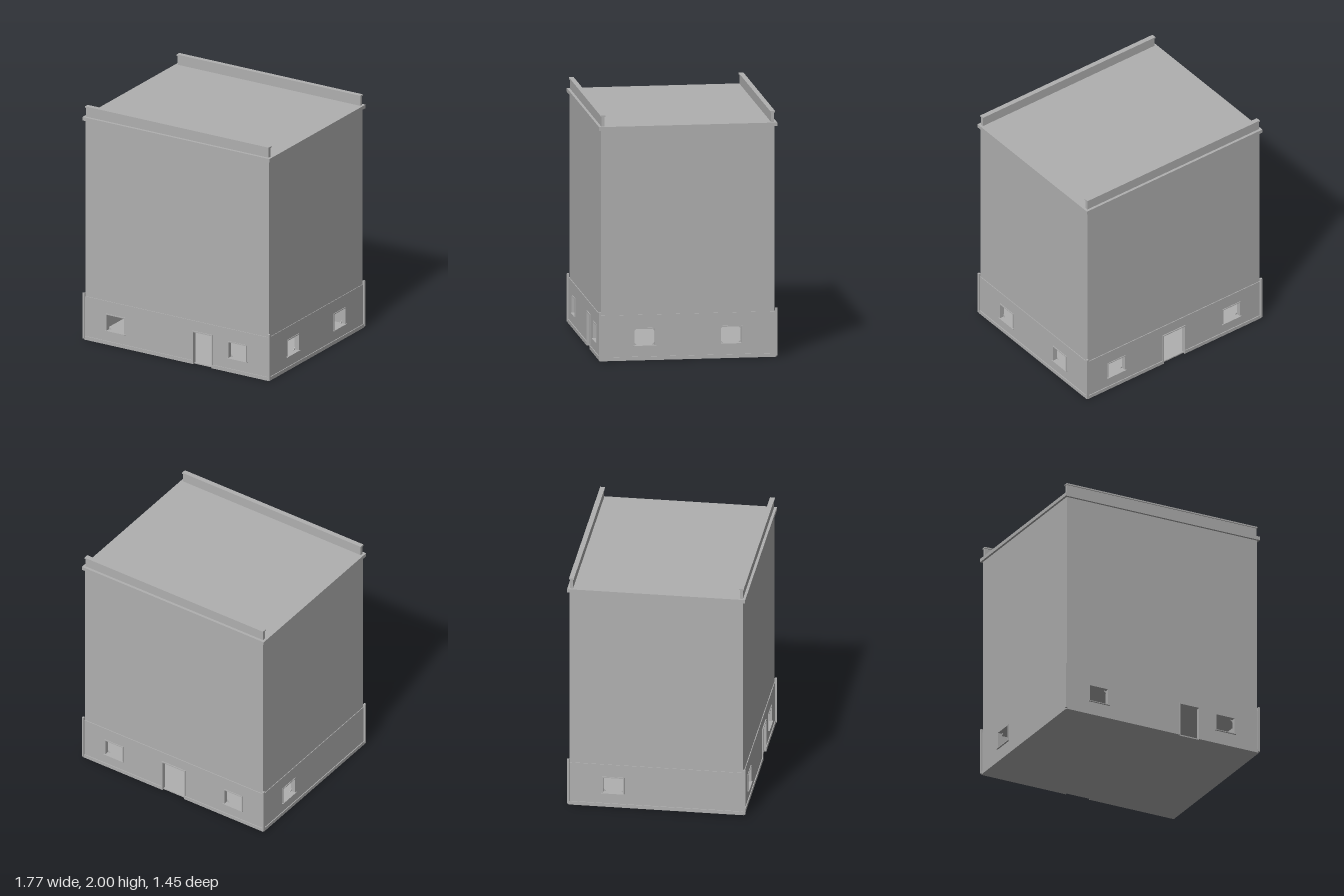
import * as THREE from 'three';

const WALL_H = 0.37, WALL_T = 0.03;
const WIN_W = 0.165, WIN_Y0 = 0.12, WIN_Y1 = 0.255;

export function createModel() {
  const root = new THREE.Group();
  root.name = 'building';
  const stone = new THREE.MeshStandardMaterial({ color: 0xb0b0b0 });
  stone.name = 'grey stone';

  const add = (parent, name, geo) => {
    const mesh = new THREE.Mesh(geo, stone);
    mesh.name = name;
    parent.add(mesh);
    return mesh;
  };
  // Box given by its limits on each axis
  const box = (parent, name, x0, x1, y0, y1, z0, z1) => {
    const mesh = add(parent, name, new THREE.BoxGeometry(x1 - x0, y1 - y0, z1 - z0));
    mesh.position.set((x0 + x1) / 2, (y0 + y1) / 2, (z0 + z1) / 2);
    return mesh;
  };
  const poly = (C, pts) => new C(pts.map(([x, y]) => new THREE.Vector2(x, y)));
  const rect = (C, x0, x1, y0, y1) => poly(C, [[x0, y0], [x1, y0], [x1, y1], [x0, y1]]);

  // Ground floor wall facing local +z, with its openings and trim
  function wall(name, half, dist, angle, windows, door) {
    const side = new THREE.Group();
    side.name = name;
    side.rotation.y = angle;
    root.add(side);

    const outline = [[-half, 0]];
    if (door) outline.push([door.x0, 0], [door.x0, door.h], [door.x1, door.h], [door.x1, 0]);
    outline.push([half, 0], [half, WALL_H], [-half, WALL_H]);
    const shape = poly(THREE.Shape, outline);
    for (const x of windows)
      shape.holes.push(rect(THREE.Path, x - WIN_W / 2, x + WIN_W / 2, WIN_Y0, WIN_Y1));
    const panel = add(side, 'wall', new THREE.ExtrudeGeometry(shape, { depth: WALL_T, bevelEnabled: false }));
    panel.position.z = dist - WALL_T;

    // Window frames, sills and clipped inner surrounds
    for (const x of windows) {
      const a = x - WIN_W / 2, b = x + WIN_W / 2, c = 0.022;
      const frame = rect(THREE.Shape, a - 0.008, b + 0.008, WIN_Y0 - 0.004, WIN_Y1 + 0.008);
      frame.holes.push(rect(THREE.Path, a, b, WIN_Y0, WIN_Y1));
      add(side, 'windowFrame', new THREE.ExtrudeGeometry(frame, { depth: 0.006, bevelEnabled: false })).position.z = dist;
      box(side, 'windowSill', x - 0.095, x + 0.095, WIN_Y0 - 0.006, WIN_Y0, dist - 0.01, dist + 0.014);

      const inner = rect(THREE.Shape, a - 0.01, b + 0.01, WIN_Y0 - 0.01, WIN_Y1 + 0.01);
      inner.holes.push(poly(THREE.Path, [
        [a + c, WIN_Y0], [b - c, WIN_Y0], [b, WIN_Y0 + c], [b, WIN_Y1 - c],
        [b - c, WIN_Y1], [a + c, WIN_Y1], [a, WIN_Y1 - c], [a, WIN_Y0 + c],
      ]));
      add(side, 'windowSurround', new THREE.ExtrudeGeometry(inner, { depth: 0.004, bevelEnabled: false }))
        .position.z = dist - WALL_T - 0.004;
    }

    // Plinth strip, broken at the doorway
    const spans = door ? [[-half, door.x0], [door.x1, half]] : [[-half, half]];
    for (const [a, b] of spans) box(side, 'plinth', a, b, 0, 0.03, dist, dist + 0.007);

    if (door) {
      const w = 0.009;
      box(side, 'doorJamb', door.x0 - w, door.x0, 0, door.h, dist, dist + 0.008);
      box(side, 'doorJamb', door.x1, door.x1 + w, 0, door.h, dist, dist + 0.008);
      box(side, 'doorHead', door.x0 - w, door.x1 + w, door.h, door.h + w, dist, dist + 0.008);
    }
  }
  wall('frontWall', 0.873, 0.709, 0, [-0.58, 0.575], { x0: 0.16, x1: 0.333, h: 0.275 });
  wall('backWall', 0.873, 0.709, Math.PI, [-0.58, 0.58], { x0: -0.105, x1: 0.105, h: 0.275 });
  wall('rightSideWall', 0.709, 0.873, Math.PI / 2, [-0.35, 0.35]);
  wall('leftSideWall', 0.709, 0.873, -Math.PI / 2, [-0.35]);

  // Floor, corner posts, upper block and roof slab
  box(root, 'floor', -0.865, 0.865, 0, 0.01, -0.7, 0.7);
  for (const sx of [-1, 1]) for (const sz of [-1, 1]) {
    const post = box(root, 'cornerPost', -0.009, 0.009, 0.01, 0.4, -0.009, 0.009);
    post.position.x = sx * 0.877;
    post.position.z = sz * 0.714;
  }
  box(root, 'upperBlock', -0.868, 0.868, WALL_H - 0.004, 1.88, -0.703, 0.703);
  box(root, 'roofSlab', -0.886, 0.886, 1.88, 1.91, -0.722, 0.722);

  // Capped parapets along the front and back
  for (const s of [-1, 1]) {
    const z = s * 0.688;
    box(root, 'parapet', -0.865, 0.865, 1.91, 1.99, z - 0.012, z + 0.012);
    box(root, 'parapetCap', -0.87, 0.87, 1.988, 2, z - 0.02, z + 0.02);
  }
  return root;
}
